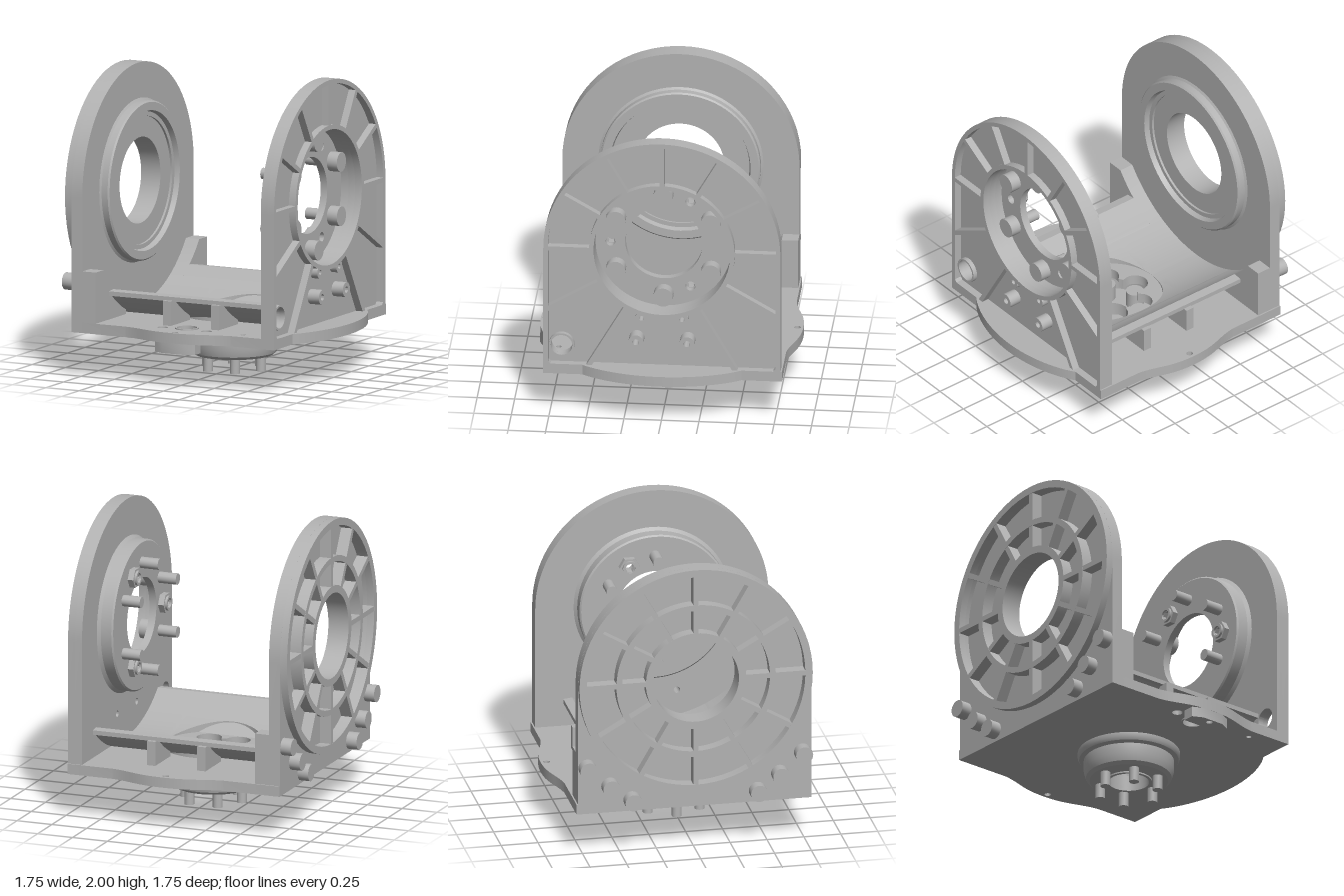
import * as THREE from 'three';
import { toCreasedNormals } from 'three/addons/utils/BufferGeometryUtils.js';

const CY = 1.21;      // height of the bearing axis
const TROUGH = 0.845; // radius of the cradle trough
const rad = THREE.MathUtils.degToRad;

export function createModel() {
  const root = new THREE.Group();
  root.name = 'yokeBracket';
  const metal = new THREE.MeshStandardMaterial({ color: 0xb2b2b2 });
  metal.name = 'greyMetal';
  const sheet = new THREE.MeshStandardMaterial({ color: 0xb2b2b2, side: THREE.DoubleSide });
  sheet.name = 'greyMetalSheet';

  const add = (name, geo, mat = metal) => {
    const mesh = new THREE.Mesh(toCreasedNormals(geo, 0.5), mat);
    mesh.name = name;
    root.add(mesh);
    return mesh;
  };
  const poly = pts => new THREE.Shape(pts.map(p => new THREE.Vector2(p[0], p[1])));
  const hole = (s, x, y, r) => s.holes.push(new THREE.Path().absarc(x, y, r, 0, Math.PI * 2, true));
  const extrude = (shape, depth) =>
    new THREE.ExtrudeGeometry(shape, { depth, bevelEnabled: false, curveSegments: 36 });
  // shape in (z, y), running from x0 to x1
  const slabX = (name, shape, x0, x1) =>
    add(name, extrude(shape, x1 - x0).rotateY(-Math.PI / 2).translate(x1, 0, 0));
  // shape in (x, z), running from y0 to y1
  const slabY = (name, shape, y0, y1) =>
    add(name, extrude(shape, y1 - y0).rotateX(Math.PI / 2).translate(0, y1, 0));
  const lathe = (pts, n = 72) => new THREE.LatheGeometry(pts.map(p => new THREE.Vector2(p[0], p[1])), n);
  const latheX = (name, pts, y = CY, z = 0, n = 72) =>
    add(name, lathe(pts, n).rotateZ(-Math.PI / 2).translate(0, y, z));
  const rodX = (name, r, x0, x1, y, z) =>
    add(name, new THREE.CylinderGeometry(r, r, x1 - x0, 24).rotateZ(Math.PI / 2).translate((x0 + x1) / 2, y, z));
  const tubeX = (name, ri, ro, x0, x1, y, z, n = 28) =>
    latheX(name, [[ri, x0], [ro, x0], [ro, x1], [ri, x1], [ri, x0]], y, z, n);
  const rodY = (name, r, y0, y1, x, z) =>
    add(name, new THREE.CylinderGeometry(r, r, y1 - y0, 24).translate(x, (y0 + y1) / 2, z));

  const archShape = () => {
    const s = new THREE.Shape();
    s.moveTo(-0.79, 0.3);
    s.lineTo(0.79, 0.3);
    s.lineTo(0.79, CY);
    s.absarc(0, CY, 0.79, 0, Math.PI, false);
    s.closePath();
    return s;
  };

  // ---- Right plate: backing, then ribbed face with pockets
  const backing = archShape();
  hole(backing, 0, CY, 0.455);
  hole(backing, 0.67, 0.5, 0.072);
  for (const s of [-1, 1]) {
    hole(backing, s * 0.17, 0.565, 0.022);
    hole(backing, s * 0.135, 0.725, 0.017);
  }
  slabX('rightPlateBacking', backing, 0.62, 0.67);

  const reach = a => {
    const c = Math.abs(Math.cos(a)), s = Math.sin(a);
    return s >= 0 ? 0.76 : Math.min(0.757 / c, 0.84 / -s);
  };
  const face = archShape();
  hole(face, 0, CY, 0.455);
  const pocket = (a0, a1) => {
    const pts = [], N = 24, half = 0.016;
    const arc = (radius, flip) => {
      for (let i = 0; i <= N; i++) {
        const t = flip ? 1 - i / N : i / N;
        const mid = a0 + (a1 - a0) * t;
        const r = radius(mid);
        const a = mid + (1 - 2 * t) * Math.asin(half / r);
        const q = radius(a);
        pts.push(new THREE.Vector2(q * Math.cos(a), CY + q * Math.sin(a)));
      }
    };
    arc(reach, false);
    arc(() => 0.485, true);
    face.holes.push(new THREE.Path(pts.reverse()));
  };
  for (let d = -30; d < 210; d += 30) pocket(rad(d), rad(d + 30));
  pocket(rad(-60), rad(-30));
  pocket(rad(-120), rad(-60));
  pocket(rad(-150), rad(-120));
  slabX('rightPlateRibs', face, 0.67, 0.72);
  tubeX('cornerHoleRim', 0.072, 0.085, 0.66, 0.70, 0.5, 0.67);
  for (const s of [-1, 1]) {
    tubeX('lowerBoss', 0.022, 0.05, 0.66, 0.755, 0.565, s * 0.17);
    tubeX('upperBoss', 0.017, 0.042, 0.66, 0.72, 0.725, s * 0.135);
  }

  // ---- Right bearing cup with its bolts and bushings
  latheX('cupWall', [[0.44, 0.515], [0.5, 0.515], [0.51, 0.525], [0.51, 0.6], [0.53, 0.62],
    [0.455, 0.62], [0.455, 0.53], [0.44, 0.515]]);
  const cupFloor = new THREE.Shape().absarc(0, CY, 0.456, 0, Math.PI * 2, false);
  hole(cupFloor, 0, CY, 0.257);
  for (let i = 0; i < 3; i++) {
    const a = rad(i * 120), z = 0.355 * Math.cos(a), y = CY + 0.355 * Math.sin(a);
    hole(cupFloor, z, y, 0.033);
    tubeX('hexBushing', 0.033, 0.07, 0.475, 0.52, y, z, 6);
    tubeX('bushingNose', 0.033, 0.05, 0.46, 0.48, y, z);
  }
  slabX('cupFloor', cupFloor, 0.515, 0.565);
  for (let i = 0; i < 6; i++) {
    const a = rad(30 + i * 60), z = 0.365 * Math.cos(a), y = CY + 0.365 * Math.sin(a);
    rodX('cupBoltHead', 0.066, 0.56, 0.64, y, z);
    rodX('cupBoltShaft', 0.038, 0.385, 0.52, y, z);
  }

  // ---- Left plate with its webbed bearing disc
  const left = archShape();
  hole(left, 0, CY, 0.74);
  slabX('leftPlate', left, -0.8, -0.72);
  tubeX('leftDiscRim', 0.74, 0.79, -0.85, -0.8, CY, 0, 72);
  latheX('leftBearingSeat', [[0.74, -0.77], [0.74, -0.72], [0.55, -0.72], [0.535, -0.71], [0.535, -0.665],
    [0.525, -0.655], [0.47, -0.655], [0.46, -0.69], [0.43, -0.69], [0.43, -0.705], [0.29, -0.705],
    [0.29, -0.85], [0.34, -0.85], [0.34, -0.77], [0.5, -0.77], [0.5, -0.85], [0.54, -0.85],
    [0.54, -0.77], [0.74, -0.77]]);
  for (let i = 0; i < 12; i++) {
    for (const [r0, r1] of [[0.33, 0.505], [0.535, 0.745]]) {
      add('discSpoke', new THREE.BoxGeometry(0.079, r1 - r0, 0.035)
        .translate(-0.8095, (r0 + r1) / 2, 0).rotateX(rad(i * 30)).translate(0, CY, 0));
    }
  }
  for (const s of [-1, 1])
    for (const [z, y] of [[0.73, 0.63], [0.575, 0.49], [0.425, 0.38]])
      rodX('sideBolt', 0.058, -0.875, -0.79, y, s * z);

  // ---- Base slab with bulged edges and a flower-shaped recess
  const base = new THREE.Shape();
  base.moveTo(-0.8, -0.8);
  base.lineTo(-0.4, -0.8);
  base.bezierCurveTo(-0.25, -0.82, -0.2, -0.88, 0, -0.88);
  base.bezierCurveTo(0.2, -0.88, 0.25, -0.82, 0.4, -0.8);
  base.lineTo(0.72, -0.8);
  base.lineTo(0.72, -0.53);
  base.bezierCurveTo(0.8, -0.42, 0.87, -0.22, 0.87, 0);
  base.bezierCurveTo(0.87, 0.22, 0.8, 0.42, 0.72, 0.53);
  base.lineTo(0.72, 0.79);
  base.lineTo(0.4, 0.79);
  base.bezierCurveTo(0.25, 0.81, 0.2, 0.87, 0, 0.87);
  base.bezierCurveTo(-0.2, 0.87, -0.25, 0.81, -0.4, 0.79);
  base.lineTo(-0.8, 0.79);
  const flower = [];
  for (let i = 0; i < 144; i++) {
    const a = (i / 144) * Math.PI * 2;
    const d = ((a + Math.PI / 6) % (Math.PI / 3)) - Math.PI / 6; // angle from nearest petal
    const off = 0.205 * Math.sin(d);
    const r = Math.abs(off) < 0.085 ? 0.205 * Math.cos(d) + Math.sqrt(0.085 ** 2 - off ** 2) : 0.18;
    flower.push(new THREE.Vector2(r * Math.cos(a), r * Math.sin(a)));
  }
  base.holes.push(new THREE.Path(flower.reverse()));
  for (const [x, z, r] of [[0, 0.665, 0.07], [-0.165, 0.7, 0.035], [0.165, 0.7, 0.035],
    [0.445, 0.71, 0.018], [0, 0.835, 0.022], [0, -0.84, 0.022]]) hole(base, x, z, r);
  slabY('baseSlab', base, 0.3, 0.37);
  const tab = poly([[-0.15, 0.755], [0.15, 0.755], [0.15, 0.835], [0.08, 0.868], [-0.08, 0.868], [-0.15, 0.835]]);
  hole(tab, 0, 0.835, 0.022);
  slabY('frontTab', tab, 0.23, 0.3);
  add('frontHoleRim', lathe([[0.068, 0.29], [0.08, 0.29], [0.08, 0.378], [0.068, 0.378], [0.068, 0.29]], 32)
    .translate(0, 0, 0.665));

  // ---- Hub under the base
  add('hub', lathe([[0.135, 0.1], [0.26, 0.1], [0.285, 0.12], [0.3, 0.17], [0.3, 0.24], [0.33, 0.25],
    [0.34, 0.27], [0.34, 0.301], [0.3, 0.301], [0.3, 0.2], [0.135, 0.2], [0.135, 0.1]]));
  add('hubCollar', lathe([[0.135, 0.09], [0.155, 0.09], [0.155, 0.105], [0.135, 0.105], [0.135, 0.09]], 48));
  for (let i = 0; i < 6; i++) {
    const x = 0.203 * Math.cos(rad(i * 60)), z = 0.203 * Math.sin(rad(i * 60));
    rodY('hubBoltHead', 0.06, 0.19, 0.31, x, z);
    rodY('hubBoltShaft', 0.033, 0, 0.11, x, z);
  }

  // ---- Cradle trough
  const troughY = z => CY - Math.sqrt(TROUGH ** 2 - z * z);
  const zOnArc = (r, y) => Math.sqrt(r * r - (CY - y) ** 2);
  const R = 0.345, EDGE = 0.36, NX = 64, NZ = 8;
  for (const s of [-1, 1]) {
    // curved floor, cut out around the hub disc
    const floor = new THREE.PlaneGeometry(1, 1, NX, NZ), p = floor.attributes.position;
    for (let i = 0; i < p.count; i++) {
      const u = p.getX(i) + 0.5, v = p.getY(i) + 0.5;
      let x;
      if (u < 0.125) x = -0.72 + (0.72 - R) * u * 8;
      else if (u > 0.875) x = R + (0.62 - R) * (u - 0.875) * 8;
      else x = -R * Math.cos(((u - 0.125) / 0.75) * Math.PI);
      const z0 = Math.sqrt(Math.max(0, R * R - x * x));
      const z = z0 + (EDGE - z0) * v;
      p.setXYZ(i, x, troughY(z) + 0.006, s * z);
    }
    // PlaneGeometry's winding points up only on the rear half
    if (s > 0) floor.setIndex(Array.from(floor.index.array).reverse());
    floor.computeVertexNormals();
    add('troughFloor', floor, sheet);

    // raised wall with its flange, ribs and corner block
    const inner = [], block = [[s * EDGE, 0.36]], outer = [];
    for (let i = 0; i <= 8; i++) {
      const z = EDGE + (0.54 - EDGE) * i / 8, zb = EDGE + (0.68 - EDGE) * i / 8;
      inner.push([s * z, troughY(z) + 0.006]);
      block.push([s * zb, troughY(zb) + 0.006]);
      outer.push([s * zOnArc(0.885, 0.53 - 0.165 * i / 8), 0.53 - 0.165 * i / 8]);
    }
    slabX('troughWall', poly([...inner, [s * 0.6, 0.56], [s * 0.6, 0.53], ...outer]), -0.72, 0.62);
    slabX('cornerBlock', poly([...block, [s * 0.79, 0.715], [s * 0.79, 0.36]]), -0.72, -0.62);
    for (const x of [-0.17, 0.19])
      slabX('wallRib', poly([[s * 0.36, 0.365], [s * 0.36, 0.4], [s * 0.47, 0.46], [s * 0.566, 0.535],
        [s * 0.63, 0.535], [s * 0.63, 0.365]]), x - 0.03, x + 0.03);
  }
  // upright wall around the hub disc
  const rim = new THREE.CylinderGeometry(R, R, 1, 72, 1, true), q = rim.attributes.position;
  for (let i = 0; i < q.count; i++)
    q.setY(i, q.getY(i) > 0 ? troughY(q.getZ(i)) + 0.006 : 0.365);
  add('hubDiscWall', rim, sheet);

  return root;
}
